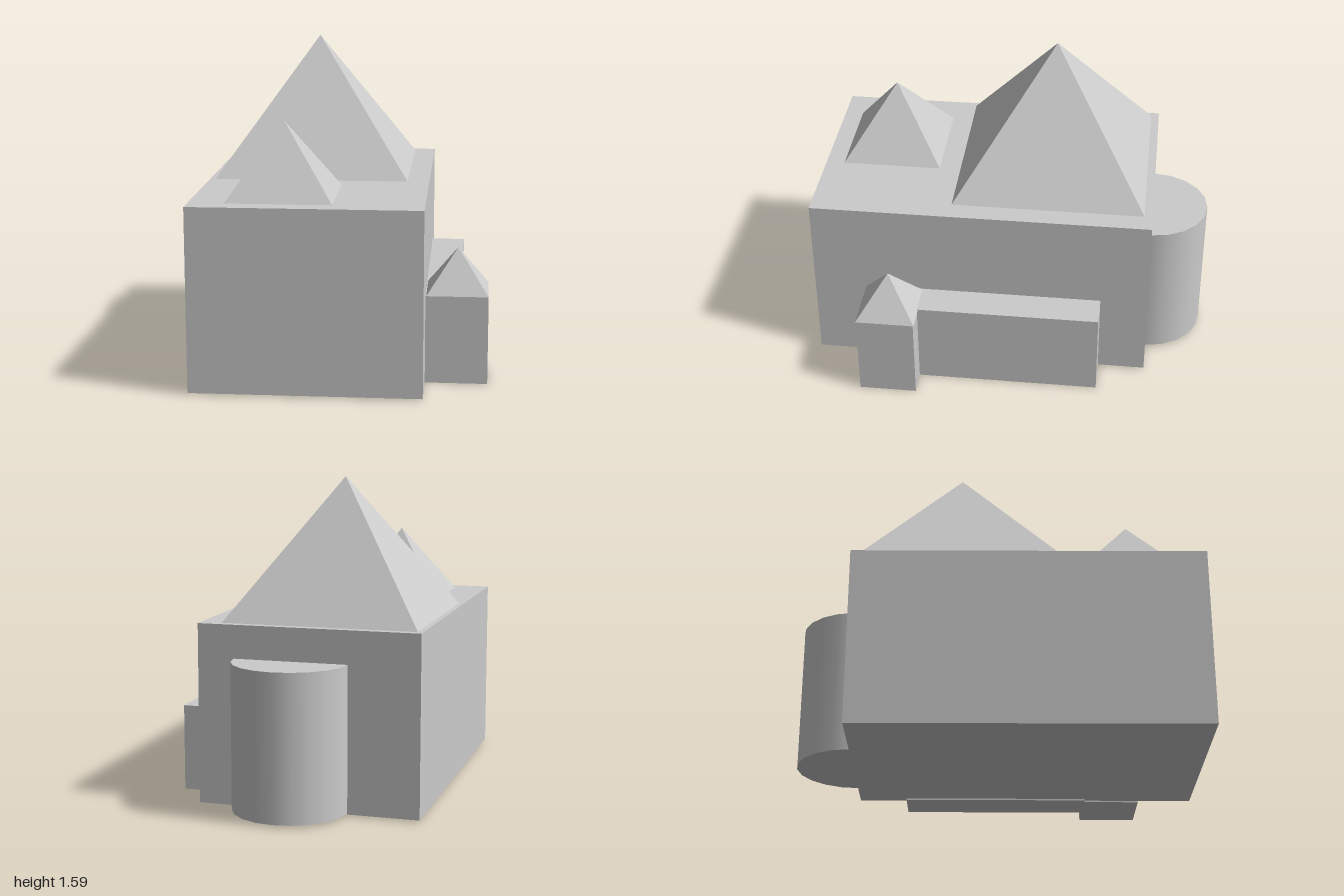
import * as THREE from 'three';

export function createModel() {
  const group = new THREE.Group();
  const flat = new THREE.MeshStandardMaterial({ color: 0xcccccc, flatShading: true });
  const smooth = new THREE.MeshStandardMaterial({ color: 0xcccccc });

  const add = (name, geometry, material = flat) => {
    const mesh = new THREE.Mesh(geometry, material);
    mesh.name = name;
    group.add(mesh);
    return mesh;
  };

  // Box from its lower and upper corners
  const block = (name, [x0, y0, z0], [x1, y1, z1]) =>
    add(name, new THREE.BoxGeometry(x1 - x0, y1 - y0, z1 - z0))
      .position.set((x0 + x1) / 2, (y0 + y1) / 2, (z0 + z1) / 2);

  // Square pyramid roof standing on height y
  const pyramid = (name, x, y, z, width, height) => {
    const geometry = new THREE.ConeGeometry(width / Math.SQRT2, height, 4, 1);
    geometry.rotateY(Math.PI / 4);
    add(name, geometry).position.set(x, y + height / 2, z);
  };

  // Main hall with its two roofs
  block('mainHall', [-0.705, 0.008, -0.72], [0.4, 0.9, 1]);
  pyramid('largeRoof', -0.193, 0.9, -0.193, 0.97, 0.687);
  pyramid('smallRoof', -0.281, 0.9, 0.653, 0.505, 0.356);

  // Low side aisle and corner turret
  block('sideAisle', [0.37, 0, -0.48], [0.573, 0.435, 0.45]);
  block('turret', [0.4, 0, 0.44], [0.7, 0.43, 0.73]);
  pyramid('turretRoof', 0.552, 0.43, 0.584, 0.297, 0.208);

  // Half-round apse at the back
  const apse = new THREE.CylinderGeometry(0.285, 0.285, 0.723, 10, 1, false, Math.PI / 2, Math.PI);
  add('apse', apse, smooth).position.set(-0.067, 0.3735, -0.715);

  return group;
}
